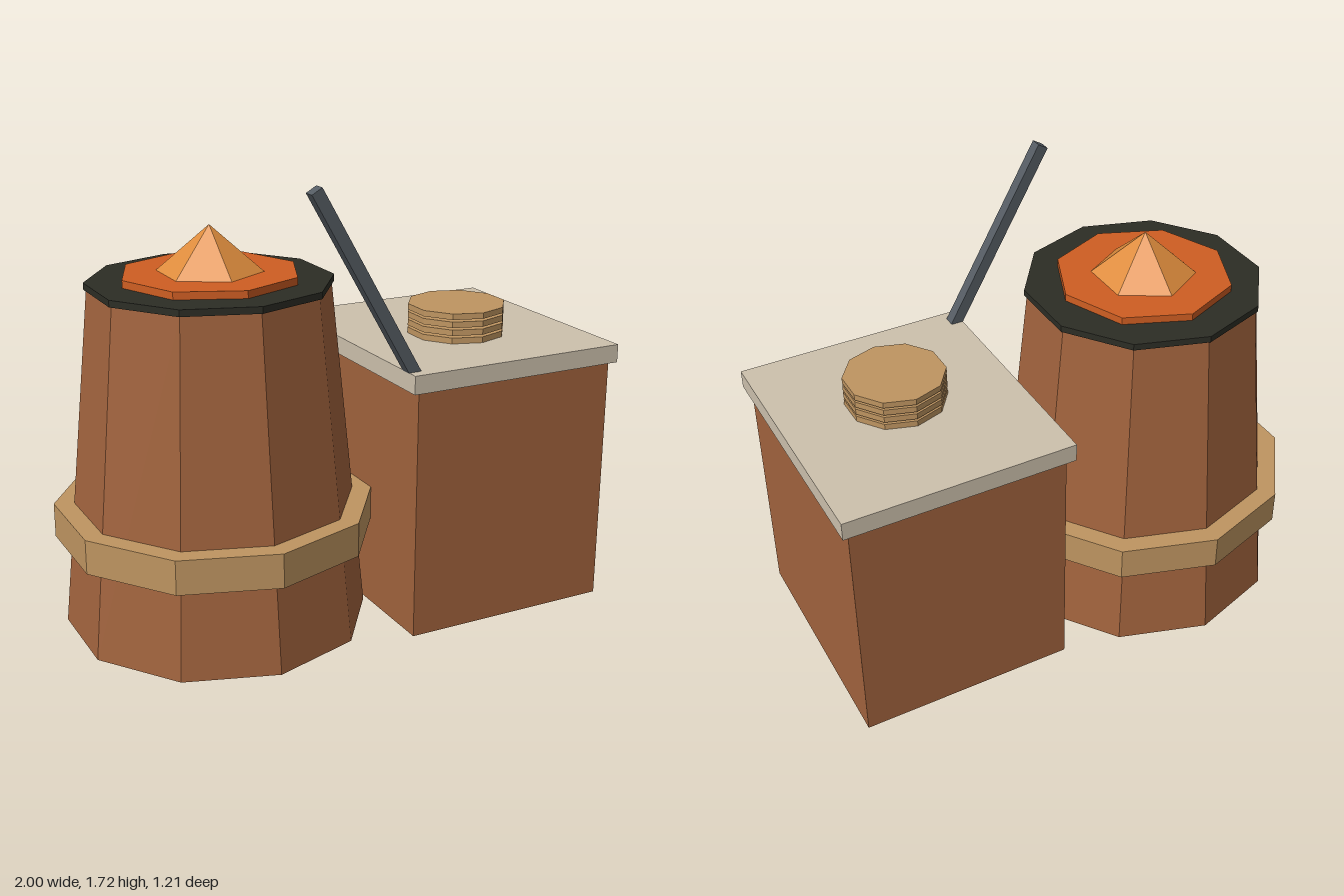
import * as THREE from 'three';

const mat = (name, color, opts = {}) =>
  new THREE.MeshStandardMaterial({ name, color, flatShading: true, ...opts });

export function createModel() {
  const group = new THREE.Group();
  const clay = mat('clay', 0xa1633d, { side: THREE.DoubleSide });
  const tan = mat('tan', 0xbf9561);
  const stone = mat('pale stone', 0xcdc1ad);
  const char = mat('char', 0x2c2d25);
  const ember = mat('ember orange', 0xcf5e22);
  const flame = mat('flame', 0xdf8d3d);
  const iron = mat('iron', 0x555c63);

  const add = (name, geometry, material, x, y, z) => {
    const mesh = new THREE.Mesh(geometry, material);
    mesh.name = name;
    mesh.position.set(x, y, z);
    group.add(mesh);
    return mesh;
  };
  // Faceted cylinder standing between two heights
  const drum = (name, material, rTop, rBottom, y0, y1, sides, x, z, open = false) =>
    add(name, new THREE.CylinderGeometry(rTop, rBottom, y1 - y0, sides, 1, open), material, x, (y0 + y1) / 2, z);
  // Box given by its extents
  const block = (name, material, x0, x1, y0, y1, z0, z1) =>
    add(name, new THREE.BoxGeometry(x1 - x0, y1 - y0, z1 - z0), material, (x0 + x1) / 2, (y0 + y1) / 2, (z0 + z1) / 2);

  // Tapered oven, open underneath, with a solid band around it
  const ox = -0.427;
  drum('ovenWall', clay, 0.445, 0.577, 0, 1.3, 10, ox, 0, true);
  drum('ovenBand', tan, 0.604, 0.604, 0.35, 0.48, 10, ox, 0);
  drum('ovenRim', char, 0.455, 0.455, 1.297, 1.322, 10, ox, 0);
  drum('embers', ember, 0.335, 0.335, 1.322, 1.35, 8, ox, 0);
  add('flame', new THREE.ConeGeometry(0.197, 0.17, 6), flame, ox, 1.435, 0);

  // Counter with an overhanging slab
  block('counter', clay, 0.137, 0.973, 0, 0.962, -0.42, 0.54);
  block('counterTop', stone, 0.11, 1.0, 0.96, 1.03, -0.445, 0.558);

  // Stack of flatbreads
  for (let i = 0; i < 4; i++) {
    const y = 1.03 + i * 0.0313;
    drum('flatbread' + (i + 1), tan, 0.191, 0.191, y, y + 0.023, 10, 0.555, 0.115);
  }

  // Iron rod leaning over from the counter
  const rod = add('rod', new THREE.BoxGeometry(0.045, 0.79, 0.045), iron, -0.0575, 1.363, 0.493);
  rod.rotation.z = Math.PI / 6;

  return group;
}
